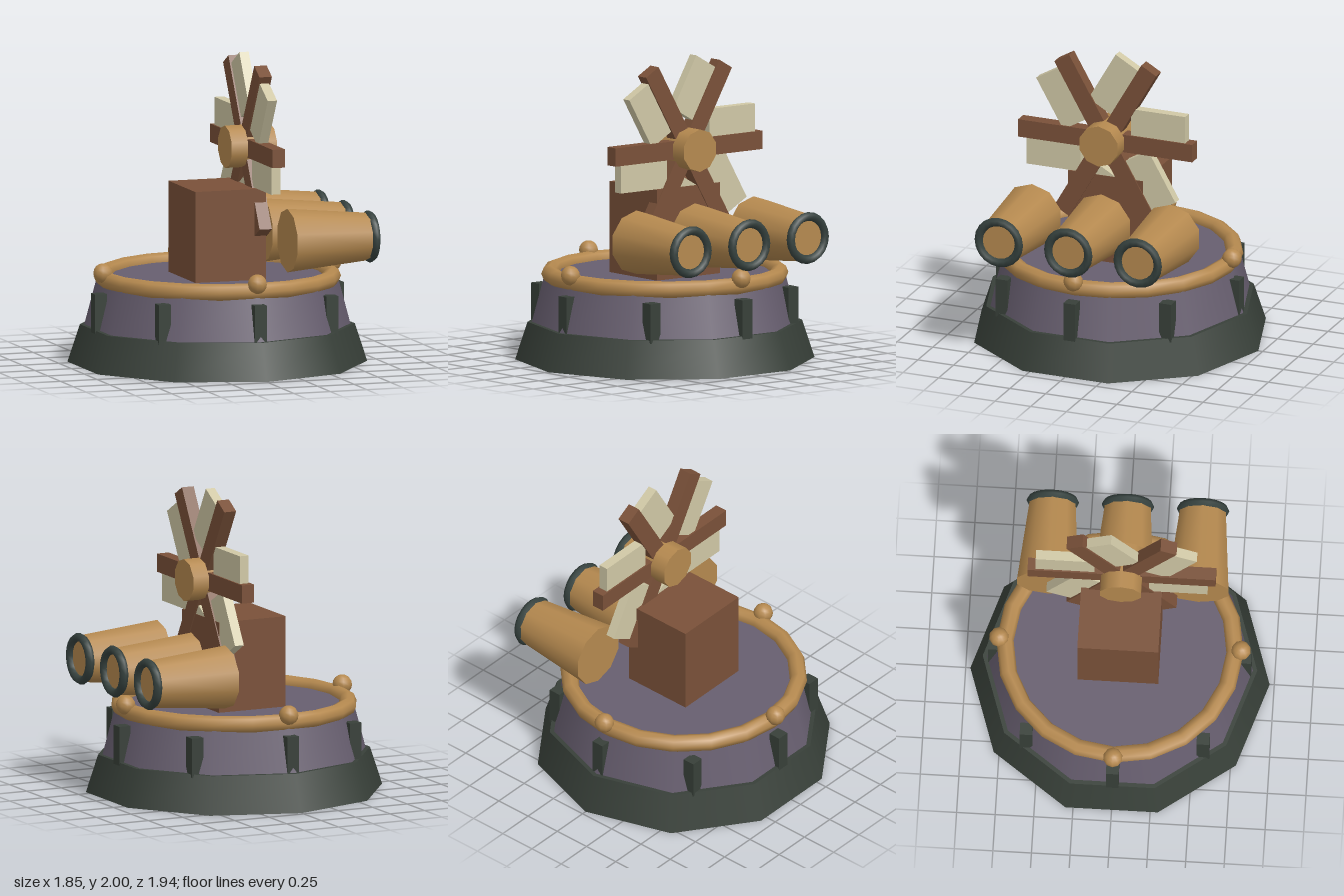
import * as THREE from 'three';

const paint = (name, color) => {
  const m = new THREE.MeshStandardMaterial({ color });
  m.name = name;
  return m;
};

export function createModel() {
  const model = new THREE.Group();
  model.name = 'windmillTurret';

  const darkGreen = paint('dark green', 0x384039);
  const purple = paint('dusky purple', 0x675e6f);
  const gold = paint('ochre', 0xb5894f);
  const brown = paint('brown wood', 0x7a5139);
  const cream = paint('cream cloth', 0xd0c8a6);
  const slate = paint('slate', 0x36423f);

  const add = (parent, name, geometry, material, x = 0, y = 0, z = 0) => {
    const mesh = new THREE.Mesh(geometry, material);
    mesh.name = name;
    mesh.position.set(x, y, z);
    parent.add(mesh);
    return mesh;
  };
  // Ten-sided cylinder lying along x, its top end facing +x
  const lying = (rTop, rBottom, length) =>
    new THREE.CylinderGeometry(rTop, rBottom, length, 10).rotateX(Math.PI / 2).rotateY(Math.PI / 2);

  // Ten-sided plinth and tapered drum
  add(model, 'plinth', new THREE.CylinderGeometry(0.89, 0.97, 0.245, 10), darkGreen, 0, 0.1225, 0);
  add(model, 'drum', new THREE.CylinderGeometry(0.778, 0.864, 0.325, 10), purple, 0, 0.3975, 0);

  // Eight square posts around the drum
  const postGeometry = new THREE.BoxGeometry(0.083, 0.26, 0.083);
  for (let i = 0; i < 8; i++) {
    const a = (i * Math.PI) / 4;
    add(model, 'post', postGeometry, darkGreen, 0.811 * Math.cos(a), 0.352, 0.811 * Math.sin(a));
  }

  // Rim with four knobs
  add(model, 'rim', new THREE.TorusGeometry(0.745, 0.056, 8, 20).rotateX(Math.PI / 2), gold, 0, 0.559, 0);
  const knobGeometry = new THREE.SphereGeometry(0.064, 10, 8);
  for (let i = 0; i < 4; i++) {
    const a = (i * Math.PI) / 2;
    add(model, 'knob', knobGeometry, gold, 0.785 * Math.cos(a), 0.614, 0.785 * Math.sin(a));
  }

  // Cabin block
  add(model, 'cabin', new THREE.BoxGeometry(0.485, 0.605, 0.525), brown, 0, 0.8525, 0);

  // Three tapered barrels with muzzle rings
  const barrelGeometry = lying(0.155, 0.208, 0.555);
  const ringGeometry = new THREE.TorusGeometry(0.141, 0.029, 6, 20).rotateY(Math.PI / 2);
  for (const z of [-0.487, 0, 0.487]) {
    add(model, 'barrel', barrelGeometry, gold, 0.5875, 0.842, z);
    add(model, 'muzzleRing', ringGeometry, slate, 0.869, 0.842, z);
  }

  // Wheel: hub, six spokes, one sail beside each spoke
  const wheel = new THREE.Group();
  wheel.name = 'sailWheel';
  wheel.position.set(0.207, 1.4, 0);
  model.add(wheel);
  add(wheel, 'hub', lying(0.139, 0.139, 0.31), gold);
  const spokeGeometry = new THREE.BoxGeometry(0.085, 0.12, 0.61);
  const sailGeometry = new THREE.BoxGeometry(0.064, 0.19, 0.38);
  for (let i = 0; i < 6; i++) {
    const arm = new THREE.Group();
    arm.name = 'arm';
    arm.rotation.x = (i * Math.PI) / 3;
    add(arm, 'spoke', spokeGeometry, brown, 0, 0, -0.305);
    add(arm, 'sail', sailGeometry, cream, 0, 0.147, -0.367);
    wheel.add(arm);
  }

  return model;
}
